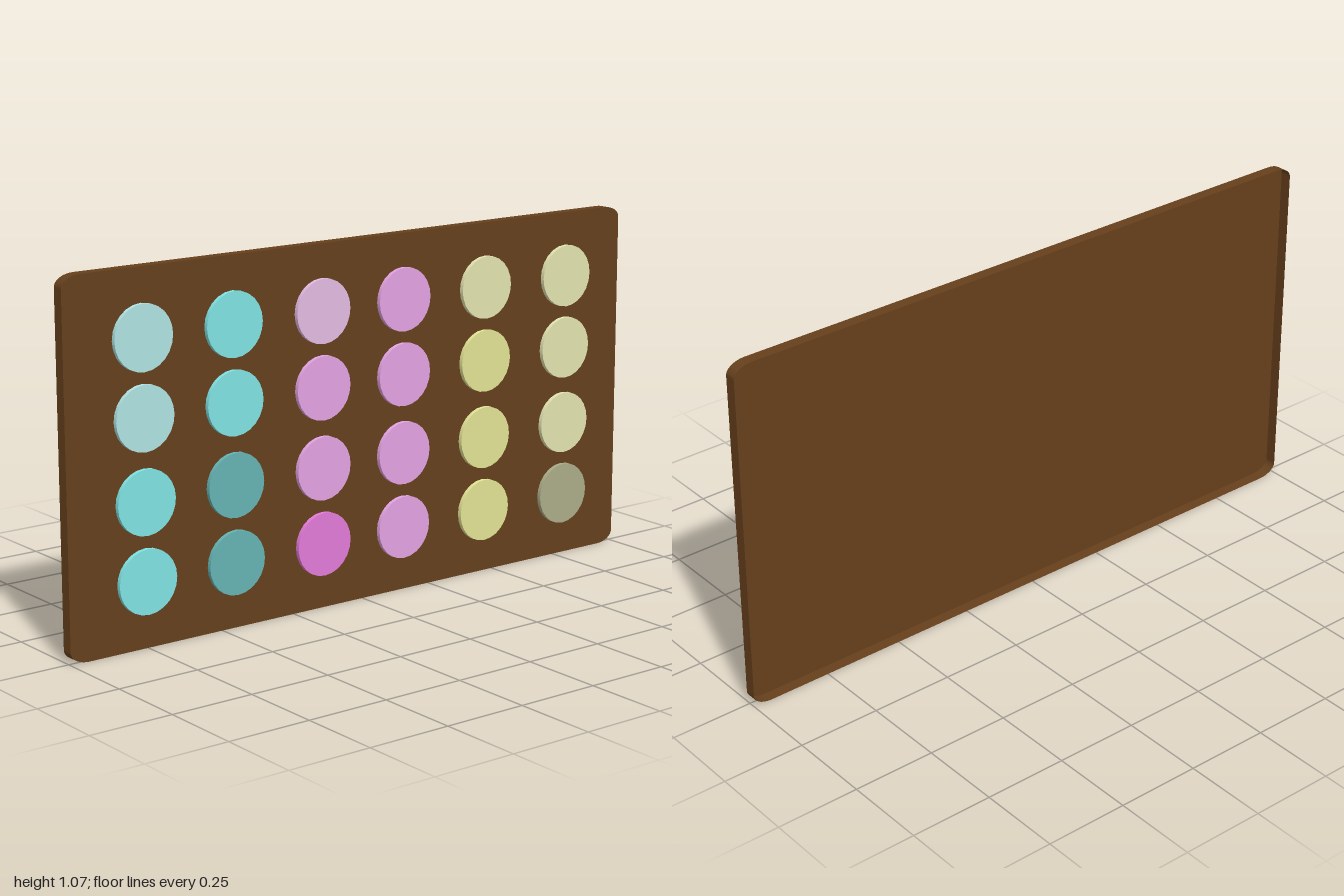
import * as THREE from 'three';

const WIDTH = 2, HEIGHT = 1.068;
const BACK = -0.023, BOARD_FRONT = 0.012, DISC_FRONT = 0.025;

function material(name, color) {
  const m = new THREE.MeshStandardMaterial({ color });
  m.name = name;
  return m;
}

// Upright panel outline with flattened elliptical corners
function boardShape() {
  const x = WIDTH / 2, rx = 0.06, ry = 0.035;
  const s = new THREE.Shape();
  s.absellipse(x - rx, ry, rx, ry, -Math.PI / 2, 0);
  s.absellipse(x - rx, HEIGHT - ry, rx, ry, 0, Math.PI / 2);
  s.absellipse(rx - x, HEIGHT - ry, rx, ry, Math.PI / 2, Math.PI);
  s.absellipse(rx - x, ry, rx, ry, Math.PI, Math.PI * 1.5);
  return s;
}

// Thin wall that follows the outline from the back edge to the front panel
function rimGeometry(points) {
  const positions = [];
  points.forEach((a, i) => {
    const b = points[(i + 1) % points.length];
    if (a.distanceTo(b) < 1e-5) return;
    positions.push(
      a.x, a.y, BACK, b.x, b.y, BACK, b.x, b.y, BOARD_FRONT,
      a.x, a.y, BACK, b.x, b.y, BOARD_FRONT, a.x, a.y, BOARD_FRONT,
    );
  });
  const g = new THREE.BufferGeometry();
  g.setAttribute('position', new THREE.Float32BufferAttribute(positions, 3));
  g.computeVertexNormals();
  return g;
}

export function createModel() {
  const group = new THREE.Group();
  group.name = 'paletteBoard';

  const wood = material('brownWood', 0x66401c);
  wood.side = THREE.DoubleSide;
  const paints = {
    a: material('paleAqua', 0xb1e4e4),
    A: material('aqua', 0x80e4e4),
    T: material('teal', 0x66b4b4),
    p: material('palePink', 0xe4bbe4),
    P: material('pink', 0xe4a4e4),
    M: material('magenta', 0xe47bda),
    y: material('paleYellow', 0xe4e4b1),
    Y: material('yellow', 0xe4e496),
    O: material('olive', 0xacac8a),
  };

  function add(name, geometry, mat, parent) {
    const mesh = new THREE.Mesh(geometry, mat);
    mesh.name = name;
    parent.add(mesh);
  }

  // Shallow board, open at the back
  const shape = boardShape();
  const panel = new THREE.ShapeGeometry(shape, 6);
  panel.translate(0, 0, BOARD_FRONT);
  add('frontPanel', panel, wood, group);
  add('rim', rimGeometry(shape.getPoints(6)), wood, group);

  // Round paint discs raised from the panel, four rows of six
  const columns = [-0.753, -0.454, -0.147, 0.148, 0.459, 0.778];
  const rows = [0.875, 0.653, 0.418, 0.193];
  const layout = ['aApPyy', 'aAPPYy', 'ATPPYy', 'ATMPYO'];
  const radius = 0.094, depth = DISC_FRONT - BOARD_FRONT;
  const edge = new THREE.CylinderGeometry(radius, radius, depth, 24, 1, true);
  edge.rotateX(Math.PI / 2);
  edge.translate(0, 0, depth / 2);
  const face = new THREE.CircleGeometry(radius, 24, Math.PI / 2);
  face.translate(0, 0, depth);
  rows.forEach((y, r) => columns.forEach((x, c) => {
    const disc = new THREE.Group();
    disc.name = `disc_row${r + 1}_column${c + 1}`;
    disc.position.set(x, y, BOARD_FRONT);
    add('discEdge', edge, paints[layout[r][c]], disc);
    add('discFace', face, paints[layout[r][c]], disc);
    group.add(disc);
  }));

  return group;
}
